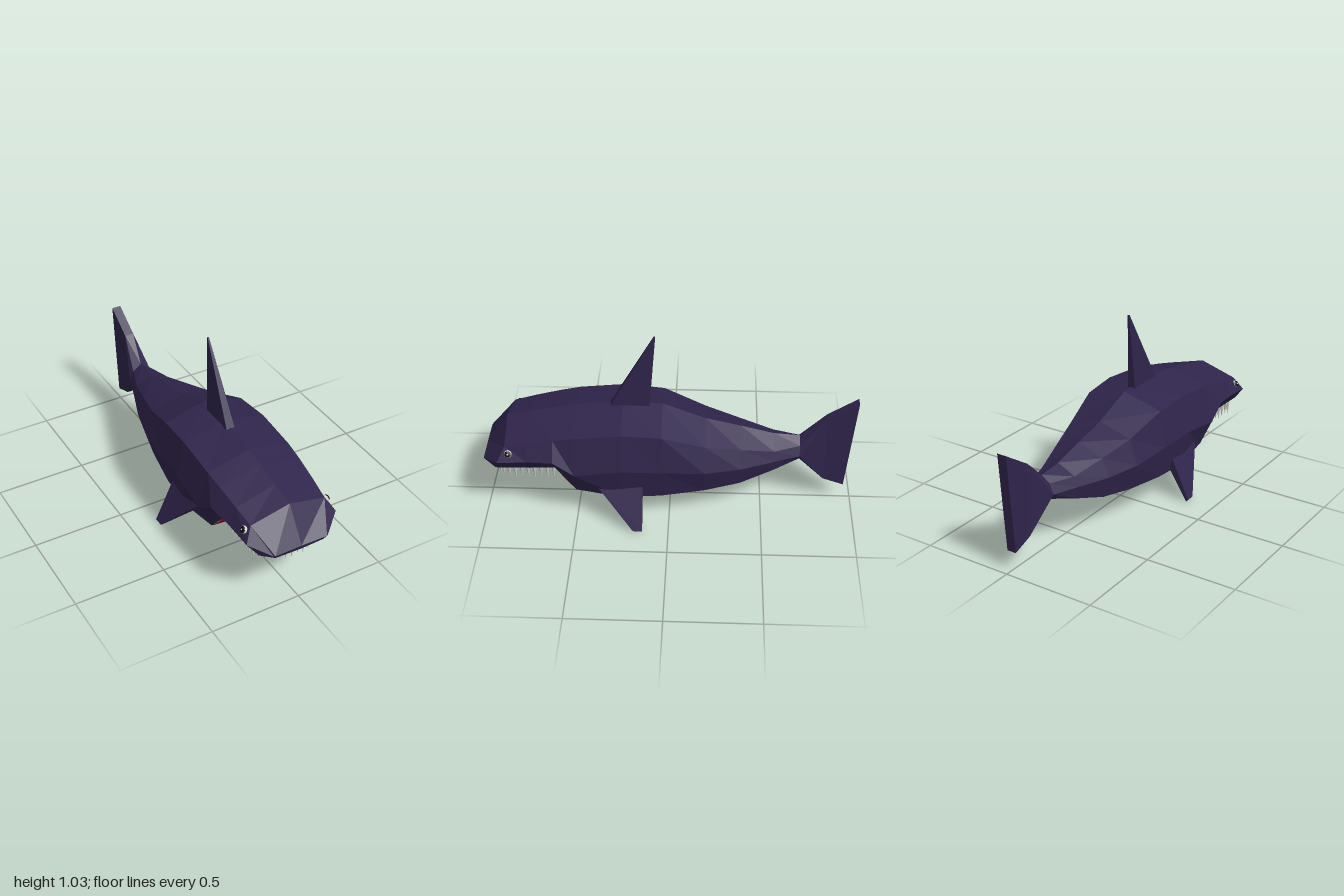
import * as THREE from 'three';
import { ConvexGeometry } from 'three/addons/geometries/ConvexGeometry.js';

const mat = (color, side = THREE.FrontSide) =>
  new THREE.MeshStandardMaterial({ color, flatShading: true, side });
const skin = mat(0x30254c);
const flesh = mat(0x8c0a24, THREE.DoubleSide);
const ivory = mat(0xcccccc);
const black = mat(0x0c0c0c);

function add(parent, name, geometry, material) {
  const mesh = new THREE.Mesh(geometry, material);
  mesh.name = name;
  parent.add(mesh);
  return mesh;
}

// Geometry from a list of quads, each four [x, y, z] corners
function fromQuads(quads) {
  const pos = [];
  for (const [a, b, c, d] of quads) pos.push(...a, ...b, ...c, ...a, ...c, ...d);
  const g = new THREE.BufferGeometry();
  g.setAttribute('position', new THREE.Float32BufferAttribute(pos, 3));
  g.computeVertexNormals();
  return g;
}

const hull = (points) => new ConvexGeometry(points.map((p) => new THREE.Vector3(...p)));
const mirror = ([x, y, z]) => [-x, y, z];

// Half cross-section: top, shoulder, side, lower edge, belly
const half = (z, top, ux, uy, sx, sy, lx, ly, belly) =>
  [[0, top, z], [ux, uy, z], [sx, sy, z], [lx, ly, z], [0, belly, z]];

const sections = [
  half(-0.70, 0.42, 0.05, 0.385, 0.072, 0.33, 0.05, 0.30, 0.29),
  half(-0.56, 0.43, 0.10, 0.38, 0.12, 0.325, 0.10, 0.255, 0.24),
  half(-0.38, 0.475, 0.145, 0.42, 0.185, 0.32, 0.15, 0.20, 0.18),
  half(-0.19, 0.52, 0.19, 0.465, 0.235, 0.325, 0.19, 0.175, 0.15),
  half(0.04, 0.61, 0.23, 0.55, 0.265, 0.345, 0.225, 0.16, 0.13),
  half(0.25, 0.617, 0.24, 0.565, 0.283, 0.36, 0.24, 0.155, 0.12),
  half(0.50, 0.595, 0.24, 0.54, 0.286, 0.33, 0.215, 0.18, 0.165),
  // head, open below for the mouth
  half(0.61, 0.573, 0.235, 0.52, 0.285, 0.41, 0.2, 0.315, 0.315),
  half(0.75, 0.545, 0.225, 0.49, 0.268, 0.40, 0.2, 0.31, 0.31),
  [[0, 0.517, 0.88], [0.215, 0.46, 0.87], [0.26, 0.385, 0.91], [0.2, 0.308, 0.93]],
  [[0, 0.337, 1.0], [0.15, 0.335, 1.0], [0.158, 0.333, 0.995], [0.14, 0.308, 0.985]],
  [[0, 0.308, 0.99], [0.14, 0.308, 0.985], [0.14, 0.308, 0.985], [0.14, 0.308, 0.985]],
];
const JAW = 6; // last section with a closed belly

function bodyGeometry() {
  const quads = [];
  for (let i = 0; i < sections.length - 1; i++) {
    const bands = i < JAW ? 4 : 3;
    for (let j = 0; j < bands; j++) {
      const a = sections[i][j], b = sections[i + 1][j];
      const c = sections[i + 1][j + 1], d = sections[i][j + 1];
      quads.push([d, a, b, c], [a, d, c, b].map(mirror));
    }
  }
  return fromQuads(quads);
}

// Mouth lining: throat wall and palate, from throat to snout
function mouthGeometry() {
  const rows = [ // lip x, lip y, inner x, inner y, middle y, z
    [0.215, 0.18, 0.14, 0.175, 0.165, 0.50],
    [0.207, 0.25, 0.14, 0.23, 0.215, 0.56],
    [0.2, 0.315, 0.14, 0.345, 0.35, 0.61],
    [0.2, 0.31, 0.14, 0.345, 0.355, 0.75],
    [0.2, 0.308, 0.13, 0.335, 0.34, 0.93],
    [0.14, 0.308, 0.09, 0.308, 0.308, 0.985],
  ].map(([lx, ly, ix, iy, my, z]) =>
    [[-lx, ly, z], [-ix, iy, z], [0, my, z], [ix, iy, z], [lx, ly, z]]);
  const quads = [];
  for (let i = 0; i < rows.length - 1; i++)
    for (let j = 0; j < 4; j++)
      quads.push([rows[i][j], rows[i][j + 1], rows[i + 1][j + 1], rows[i + 1][j]]);
  return fromQuads(quads);
}

export function createModel() {
  const model = new THREE.Group();
  model.name = 'shark';

  add(model, 'body', bodyGeometry(), skin);
  add(model, 'mouth', mouthGeometry(), flesh);

  // Tail: a wedge that thins out, then a flat blade
  const t = 0.026;
  const blade = [[t, 0.545, -0.84], [t, 0.145, -0.84]];
  const bladeEnd = [[t, 0.65, -1.0], [t, 0.105, -0.955]];
  const both = (pts) => [...pts, ...pts.map(mirror)];
  add(model, 'tailRoot', hull([...both(sections[0]), ...both(blade)]), skin);
  add(model, 'tailFin', hull(both([...blade, ...bladeEnd])), skin);

  // Dorsal fin
  add(model, 'dorsalFin', hull(both([
    [0.025, 0.55, 0.35], [0.025, 0.55, 0.115], [0.025, 0.61, 0.315],
    [0.004, 1.03, 0.085], [0.004, 1.03, 0.078],
  ])), skin);

  for (const s of [1, -1]) {
    const side = s > 0 ? 'left' : 'right';

    // Pectoral fin, slanting down and out
    add(model, side + 'PectoralFin', hull([
      [0.22, 0.235, 0.40], [0.245, 0.24, 0.39], [0.215, 0.2, 0.14], [0.25, 0.235, 0.14],
      [0.342, 0.008, 0.19], [0.353, 0.012, 0.19], [0.342, 0, 0.14], [0.354, 0.012, 0.14],
    ].map(([x, y, z]) => [s * x, y, z])), skin);

    // Eye with pupil and glint
    const eye = new THREE.Group();
    eye.name = side + 'Eye';
    eye.position.set(s * 0.238, 0.43, 0.85);
    eye.rotation.z = s * 0.45;
    const ball = add(eye, 'eyeball', new THREE.SphereGeometry(0.021, 12, 8), ivory);
    ball.scale.x = 0.75;
    const pupil = add(eye, 'pupil', new THREE.SphereGeometry(0.017, 12, 8), black);
    pupil.scale.x = 0.5;
    pupil.position.x = s * 0.01;
    const glint = add(eye, 'glint', new THREE.SphereGeometry(0.005, 6, 4), ivory);
    glint.position.x = s * 0.017;
    model.add(eye);
  }

  // Teeth along the upper jaw
  const jaw = [[0.185, 0.62], [0.187, 0.75], [0.183, 0.88], [0.11, 0.93]];
  const arch = new THREE.CatmullRomCurve3([
    ...jaw.map(([x, z]) => new THREE.Vector3(x, 0, z)),
    new THREE.Vector3(0, 0, 0.945),
    ...jaw.slice().reverse().map(([x, z]) => new THREE.Vector3(-x, 0, z)),
  ]);
  const teeth = new THREE.Group();
  teeth.name = 'teeth';
  const COUNT = 28;
  for (let i = 0; i < COUNT; i++) {
    const length = 0.096 + 0.008 * Math.sin(i * 2.3);
    const cone = new THREE.ConeGeometry(0.015, length, 7).rotateX(Math.PI);
    const tooth = add(teeth, 'tooth', cone, ivory);
    tooth.position.copy(arch.getPointAt(i / (COUNT - 1)));
    tooth.position.y = 0.328 - length / 2;
  }
  model.add(teeth);

  return model;
}
